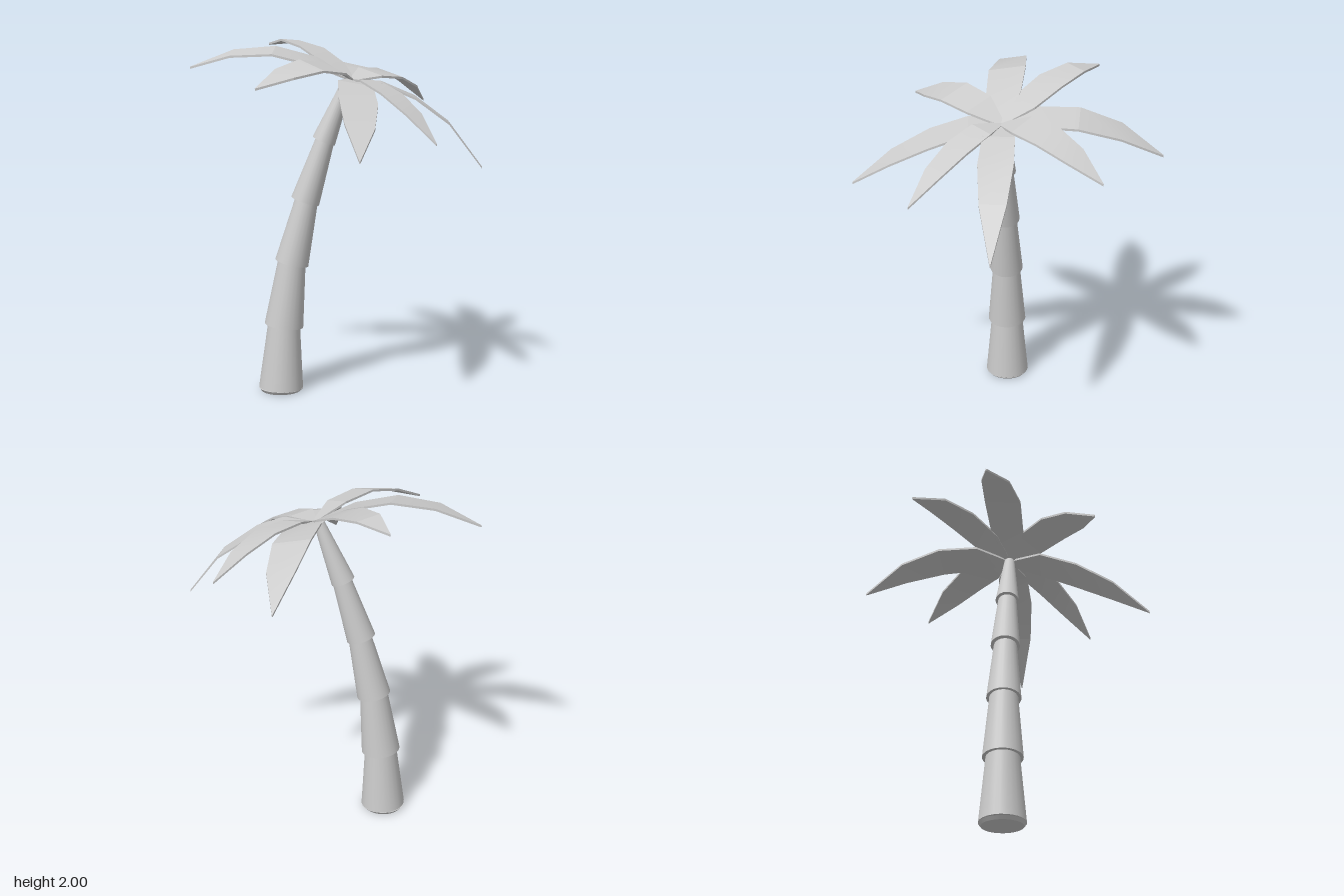
import * as THREE from 'three';
import { toCreasedNormals } from 'three/addons/utils/BufferGeometryUtils.js';

const material = new THREE.MeshStandardMaterial({ color: 0xcccccc });
const Z = 0.025; // trunk axis

// Tapered piece between two points of the leaning trunk
function trunkPiece(name, [x0, y0], [x1, y1], r0, r1) {
  const a = new THREE.Vector3(x0, y0, Z), b = new THREE.Vector3(x1, y1, Z);
  const mesh = new THREE.Mesh(new THREE.CylinderGeometry(r1, r0, a.distanceTo(b), 24), material);
  mesh.name = name;
  mesh.position.lerpVectors(a, b, 0.5);
  mesh.quaternion.setFromUnitVectors(new THREE.Vector3(0, 1, 0), b.sub(a).normalize());
  return mesh;
}

// Thin leaf blade: a four-cornered section swept from the crown to the tip
const STATIONS = [0, 0.22, 0.48, 0.74, 1];
const HALF_WIDTHS = [0.02, 0.096, 0.104, 0.079, 0.002];
const ROOT = new THREE.Vector2(0.085, Z);
const THICKNESS = 0.012;

// roll: rise per unit towards the blade's right-hand edge; bow: sideways bend of its spine
function frondGeometry(tipX, tipZ, roll, bow, heights) {
  const dir = new THREE.Vector2(tipX, tipZ).sub(ROOT);
  const length = dir.length();
  dir.normalize();
  const scale = Math.min(1, length / 0.8);
  const positions = [], index = [];
  STATIONS.forEach((t, i) => {
    const bend = bow * Math.sin(Math.PI * t);
    // corners: top left, top right, bottom right, bottom left
    for (const [side, level] of [[-1, 0.5], [1, 0.5], [1, -0.5], [-1, -0.5]]) {
      const across = side * HALF_WIDTHS[i] * scale;
      positions.push(
        ROOT.x + dir.x * length * t - dir.y * (across + bend),
        heights[i] + roll * across + level * THICKNESS,
        ROOT.y + dir.y * length * t + dir.x * (across + bend));
    }
  });
  const quad = (a, b, c, d) => index.push(a, b, c, a, c, d);
  for (let i = 0; i < STATIONS.length - 1; i++) {
    for (let k = 0; k < 4; k++) {
      const a = i * 4 + k, b = i * 4 + (k + 1) % 4;
      quad(a, b, b + 4, a + 4);
    }
  }
  // root and tip ends
  const e = (STATIONS.length - 1) * 4;
  quad(3, 2, 1, 0);
  quad(e, e + 1, e + 2, e + 3);
  const g = new THREE.BufferGeometry();
  g.setAttribute('position', new THREE.Float32BufferAttribute(positions, 3));
  g.setIndex(index);
  return toCreasedNormals(g, 0.27);
}

export function createModel() {
  const model = new THREE.Group();
  model.name = 'palmTree';

  // Trunk: stacked segments, each flaring over the one below
  const trunk = new THREE.Group();
  trunk.name = 'trunk';
  trunk.add(trunkPiece('trunkBaseBevel', [-0.323, 0], [-0.323, 0.018], 0.114, 0.127));
  const segments = [
    [[-0.323, 0.018], [-0.303, 0.41], 0.127, 0.09],
    [[-0.304, 0.385], [-0.254, 0.78], 0.111, 0.077],
    [[-0.257, 0.75], [-0.166, 1.135], 0.096, 0.063],
    [[-0.179, 1.106], [-0.059, 1.475], 0.082, 0.051],
    [[-0.074, 1.446], [0.06, 1.78], 0.067, 0.03],
  ];
  segments.forEach((s, i) => trunk.add(trunkPiece(`trunkSegment${i + 1}`, ...s)));
  model.add(trunk);

  // Crown: eight drooping fronds: tip x, tip z, roll, bow, heights from root to tip
  const crown = new THREE.Group();
  crown.name = 'crown';
  const fronds = [
    ['leftFrond', 0.81, 0.025, 0, 0.003, [1.785, 1.77, 1.69, 1.55, 1.3]],
    ['frontLeftFrond', 0.535, 0.475, 0.08, 0, [1.785, 1.785, 1.725, 1.625, 1.48]],
    ['frontFrond', 0.135, 0.84, 0.18, -0.014, [1.785, 1.775, 1.7, 1.59, 1.435]],
    ['frontRightFrond', -0.41, 0.555, 0.28, -0.032, [1.785, 1.855, 1.88, 1.845, 1.775]],
    ['rightFrond', -0.82, -0.01, 0.17, -0.02, [1.785, 1.885, 1.945, 1.93, 1.85]],
    ['backRightFrond', -0.415, -0.485, -0.09, 0.008, [1.785, 1.87, 1.95, 1.985, 1.96]],
    ['backFrond', 0.105, -0.845, -0.22, 0.018, [1.785, 1.835, 1.835, 1.77, 1.635]],
    ['backLeftFrond', 0.5, -0.53, -0.25, 0.015, [1.785, 1.82, 1.805, 1.74, 1.63]],
  ];
  for (const [name, ...shape] of fronds) {
    const frond = new THREE.Mesh(frondGeometry(...shape), material);
    frond.name = name;
    crown.add(frond);
  }
  model.add(crown);
  return model;
}
